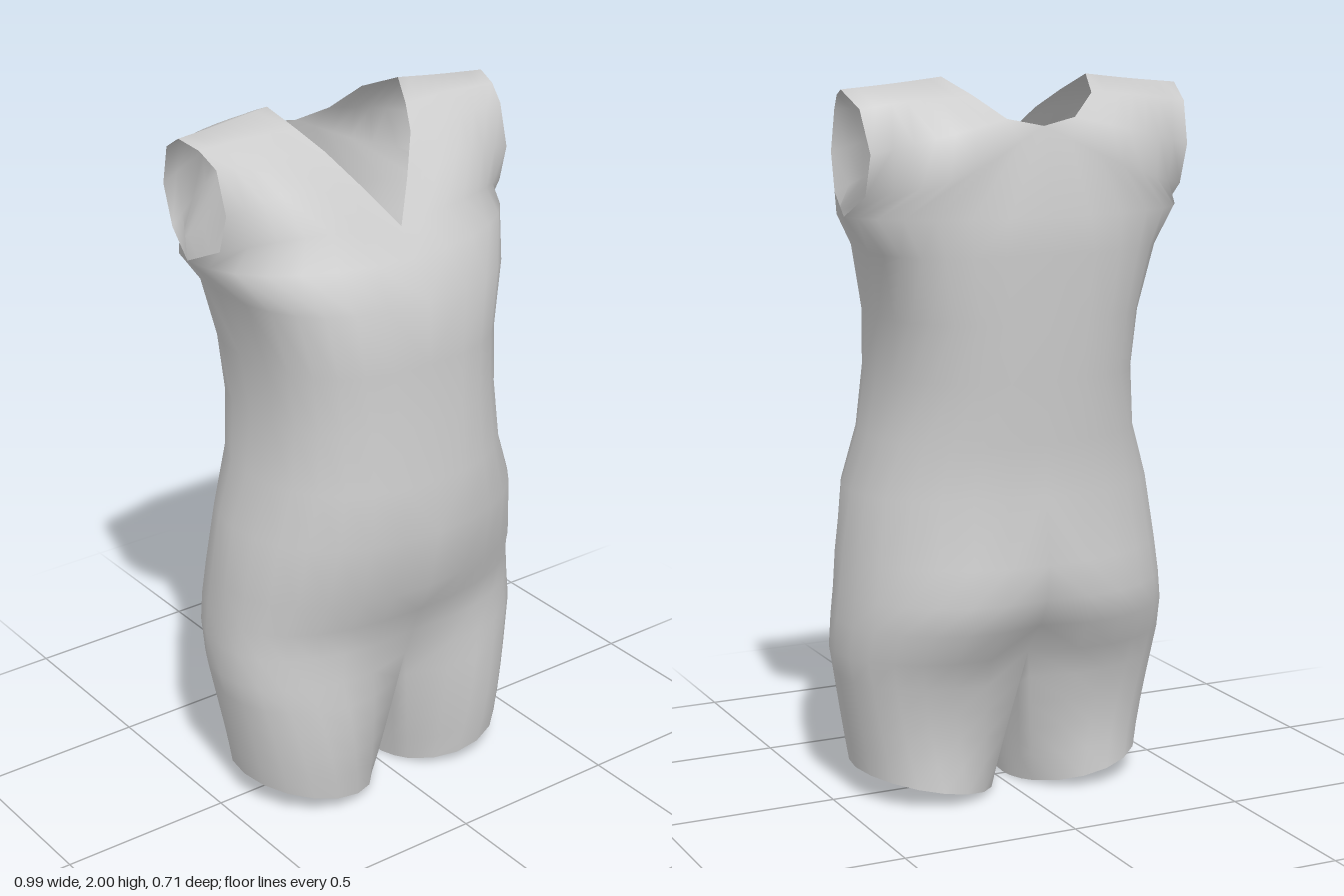
import * as THREE from 'three';
import { mergeVertices } from 'three/addons/utils/BufferGeometryUtils.js';

const M = 7; // columns from the centre line to the side seam
const V = (x, y, z) => new THREE.Vector3(x, y, z);

// Torso rings: y, half width, front z, back z, side z, squareness, front crease, back crease
const RINGS = [
  [0.43, 0.488, 0.265, -0.285, 0.0, 0.85, 0.2, 0.25],
  [0.52, 0.484, 0.262, -0.345, 0.0, 0.88, 0.06, 0.16],
  [0.6, 0.475, 0.275, -0.36, 0.0, 0.9, 0, 0.08],
  [0.7, 0.464, 0.325, -0.35, 0.0, 0.92, 0, 0.02],
  [0.88, 0.438, 0.36, -0.318, 0.0, 0.92, 0, 0],
  [1.03, 0.386, 0.345, -0.322, 0.0, 0.88, 0, 0],
  [1.2, 0.364, 0.325, -0.332, -0.01, 0.82, 0, 0],
  [1.36, 0.369, 0.312, -0.34, -0.04, 0.78, 0, 0],
  [1.54, 0.41, 0.303, -0.346, -0.08, 0.77, 0, 0],
  [1.64, 0.488, 0.235, -0.347, -0.1, 0.95, 0, 0],
];

// Half a ring, from the front centre round the +x side to the back centre
function halfRing([y, w, zf, zb, zs, p, creaseF, creaseB]) {
  return Array.from({ length: 2 * M + 1 }, (_, i) => {
    const a = (i / (2 * M)) * Math.PI;
    const x = w * Math.pow(Math.abs(Math.sin(a)), p);
    const front = i <= M;
    const dent = 1 - (front ? creaseF : creaseB) * Math.exp(-((x / 0.12) ** 2));
    const c = i === M ? 0 : Math.pow(Math.abs(Math.cos(a)), p);
    return V(x, y, zs + ((front ? zf : zb) * dent - zs) * c);
  });
}

// Yoke rows over the shoulder: neck edge, middle, armhole edge
const YOKE = [
  [V(0, 1.71, 0.18), V(0.25, 1.735, 0.16), V(0.465, 1.695, 0.02)],
  [V(0.07, 1.808, 0.112), V(0.28, 1.83, 0.09), V(0.462, 1.8, 0.05)],
  [V(0.14, 1.903, 0.035), V(0.3, 1.915, 0.02), V(0.465, 1.915, 0.015)],
  [V(0.18, 1.955, -0.04), V(0.32, 1.96, -0.04), V(0.48, 1.955, -0.04)],
  [V(0.215, 2.0, -0.12), V(0.35, 1.985, -0.115), V(0.497, 1.972, -0.11)],
  [V(0.175, 1.955, -0.23), V(0.33, 1.945, -0.215), V(0.48, 1.925, -0.195)],
  [V(0.1, 1.895, -0.28), V(0.28, 1.855, -0.295), V(0.468, 1.81, -0.237)],
  [V(0, 1.875, -0.297), V(0.25, 1.755, -0.335), V(0.468, 1.7, -0.2)],
];

// Leg: the lowest torso ring closed by the crotch line, lofted down to a tilted hem
function legRows(top) {
  const K = 6, steps = 5;
  const front = top[0], back = top[2 * M];
  const ring = [...top];
  for (let k = 1; k <= K; k++) {
    const t = k / K;
    const p = back.clone().lerp(front, t);
    p.y -= 0.095 * Math.sin(Math.PI * t);
    ring.push(p);
  }
  const rad = Math.PI / 180;
  const hem = ring.map((_, i) => {
    const a = i <= 2 * M ? -55 + (290 * i) / (2 * M) : 235 + (70 * (i - 2 * M)) / K;
    const x = 0.228 + 0.198 * Math.sin(a * rad);
    return V(x, 0.005 + 0.2 * (x - 0.03), 0.014 + 0.224 * Math.cos(a * rad));
  });
  return Array.from({ length: steps + 1 }, (_, j) => {
    const s = j / steps;
    return hem.map((h, i) => {
      const p = h.clone().lerp(ring[i], s);
      // the seat tucks in quickly below the hip, the thigh front stays full
      p.z += (p.z < 0 ? 0.12 : 0.08) * s * (1 - s) * Math.max(0, 1 - Math.abs(p.x - 0.24) / 0.24);
      return p;
    });
  });
}

// Adds a grid of points as triangles, together with its mirror image
function addGrid(out, rows) {
  const tri = (a, b, c) => {
    out.push(...a, ...b, ...c);
    for (const p of [a, c, b]) out.push(-p.x, p.y, p.z);
  };
  for (let j = 0; j < rows.length - 1; j++) {
    for (let i = 0; i < rows[j].length - 1; i++) {
      const a = rows[j][i], b = rows[j][i + 1];
      const c = rows[j + 1][i + 1], d = rows[j + 1][i];
      tri(a, b, c);
      tri(a, c, d);
    }
  }
}

export function createModel() {
  const group = new THREE.Group();
  group.name = 'bodysuit';
  const positions = [];

  // Torso
  const torso = RINGS.map(halfRing);
  addGrid(positions, torso);

  // Shoulders, leaving the neckline and armholes open
  const chest = torso[torso.length - 1];
  const yoke = YOKE.map((pts) => new THREE.CatmullRomCurve3(pts).getPoints(M));
  addGrid(positions, [chest.slice(0, M + 1), ...yoke, chest.slice(M).reverse()]);

  // Legs
  addGrid(positions, legRows(torso[0]));

  // One welded, smoothly shaded cloth surface
  let geometry = new THREE.BufferGeometry();
  geometry.setAttribute('position', new THREE.Float32BufferAttribute(positions, 3));
  geometry = mergeVertices(geometry, 1e-4);
  geometry.computeVertexNormals();
  const cloth = new THREE.MeshStandardMaterial({ color: 0xcccccc, side: THREE.DoubleSide });
  const mesh = new THREE.Mesh(geometry, cloth);
  mesh.name = 'suitCloth';
  group.add(mesh);
  return group;
}
